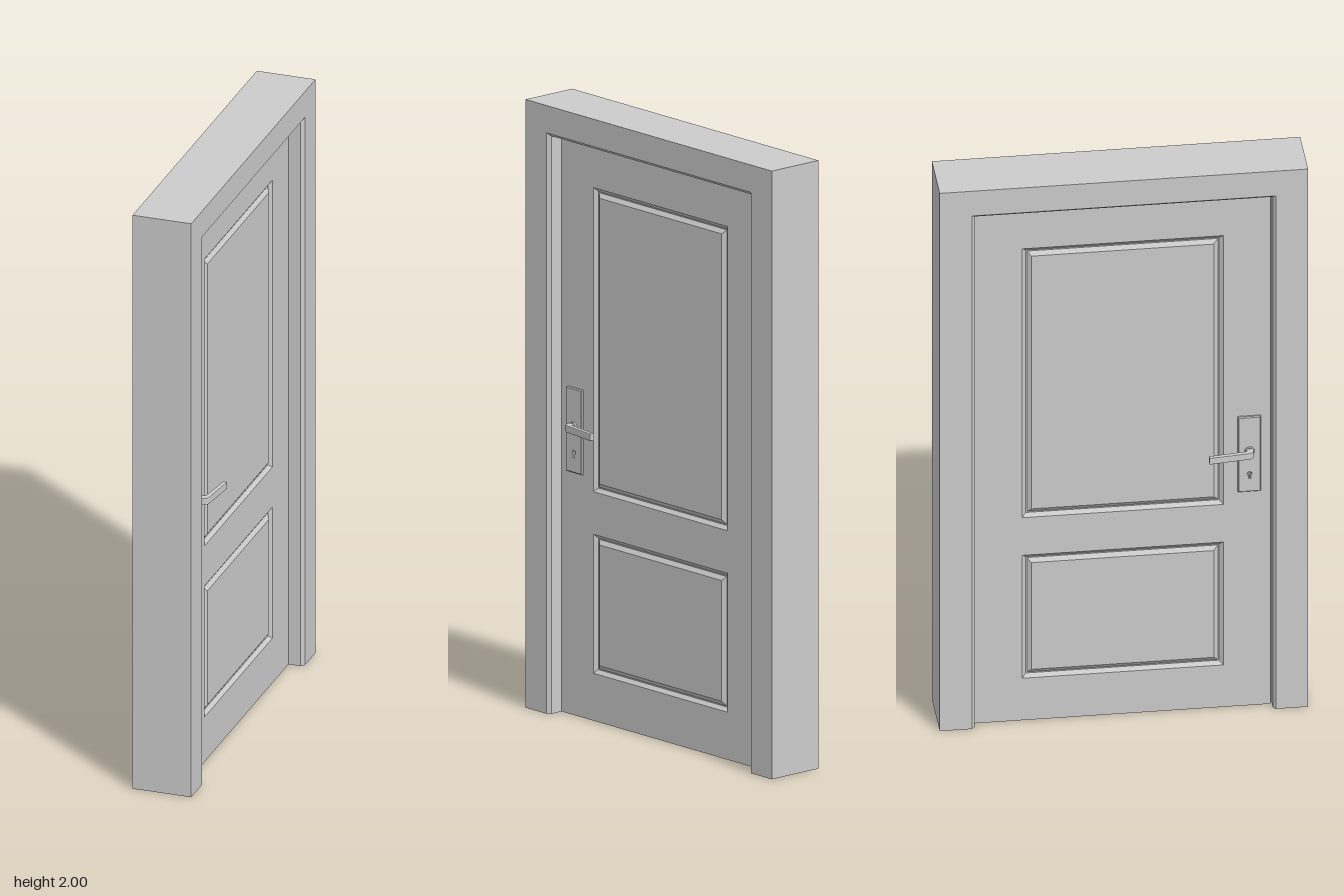
import * as THREE from 'three';

const material = new THREE.MeshStandardMaterial({ color: 0xcccccc });

function part(name, geometry) {
  const mesh = new THREE.Mesh(geometry, material);
  mesh.name = name;
  return mesh;
}

// Flat-shaded skin through rows of closed rings, with optional start cap and an end cap
function loft(rows, capStart) {
  const pos = [];
  const tri = (a, b, c) => pos.push(...a, ...b, ...c);
  const n = rows[0].length;
  for (let j = 0; j < rows.length - 1; j++) {
    for (let k = 0; k < n; k++) {
      const m = (k + 1) % n;
      const [a, b, c, d] = [rows[j][k], rows[j][m], rows[j + 1][m], rows[j + 1][k]];
      tri(a, b, c);
      tri(a, c, d);
    }
  }
  const last = rows[rows.length - 1];
  for (let k = 1; k < n - 1; k++) {
    tri(last[0], last[k], last[k + 1]);
    if (capStart) tri(rows[0][0], rows[0][k + 1], rows[0][k]);
  }
  const geometry = new THREE.BufferGeometry();
  geometry.setAttribute('position', new THREE.Float32BufferAttribute(pos, 3));
  geometry.computeVertexNormals();
  return geometry;
}

// Sweep a profile of [inset, depth] up one jamb, across the head and down the other jamb
function surround(profile) {
  const stations = [[-1, 0], [-1, 1], [1, 1], [1, 0]];
  return loft(stations.map(([side, top]) => profile.map(([i, d]) =>
    [side * (0.59 - 0.112 * i), top * (2 - 0.1 * i), d])), true);
}

function rect(path, x0, y0, x1, y1) {
  path.moveTo(x0, y0);
  path.lineTo(x1, y0);
  path.lineTo(x1, y1);
  path.lineTo(x0, y1);
  path.closePath();
  return path;
}

const FRONT = 0.058, BACK = -0.06;
const PANELS = [
  { name: 'upperPanel', y0: 0.755, y1: 1.755 },
  { name: 'lowerPanel', y0: 0.158, y1: 0.615 },
];
const PANEL_HALF = 0.322;

// Raised panel surrounded by a moulded groove
function panelGeometry({ y0, y1 }) {
  const steps = [[0, 0], [0.004, -0.004], [0.012, -0.011], [0.016, -0.011], [0.03, -0.001]];
  return loft(steps.map(([i, z]) => {
    const x = PANEL_HALF - i;
    return [[-x, y0 + i, z], [x, y0 + i, z], [x, y1 - i, z], [-x, y1 - i, z]];
  }), false);
}

// Back plate with keyhole, and bent lever; s is the direction the lever points
function createHandle(s) {
  const handle = new THREE.Group();
  handle.name = 'handle';

  const plate = rect(new THREE.Shape(), -0.034, 0.804, 0.034, 1.076);
  const keyhole = new THREE.Path();
  keyhole.absarc(0, 0.868, 0.008, -Math.PI / 3, Math.PI * 4 / 3, false);
  keyhole.lineTo(-0.004, 0.85);
  keyhole.lineTo(0.004, 0.85);
  keyhole.closePath();
  plate.holes.push(keyhole);
  handle.add(part('handlePlate', new THREE.ExtrudeGeometry(plate, {
    depth: 0.006, bevelSize: 0.003, bevelThickness: 0.003, bevelSegments: 1, curveSegments: 8,
  })));

  const collar = part('handleCollar', new THREE.CylinderGeometry(0.016, 0.016, 0.008, 20));
  collar.rotation.x = Math.PI / 2;
  collar.position.set(0, 0.953, 0.012);
  handle.add(collar);

  const plan = new THREE.Shape();
  plan.moveTo(-0.01 * s, 0);
  plan.lineTo(-0.01 * s, 0.027);
  plan.quadraticCurveTo(-0.008 * s, 0.04, 0.006 * s, 0.042);
  plan.lineTo(0.132 * s, 0.056);
  plan.lineTo(0.133 * s, 0.046);
  plan.lineTo(0.016 * s, 0.031);
  plan.quadraticCurveTo(0.01 * s, 0.03, 0.009 * s, 0.024);
  plan.lineTo(0.009 * s, 0);
  const lever = new THREE.ExtrudeGeometry(plan, {
    depth: 0.018, bevelSize: 0.002, bevelThickness: 0.003, bevelSegments: 2, curveSegments: 6,
  });
  lever.rotateX(Math.PI / 2);
  lever.translate(0, 0.962, 0);
  handle.add(part('handleLever', lever));

  handle.position.x = -0.405 * s;
  return handle;
}

export function createModel() {
  const model = new THREE.Group();
  model.name = 'door';
  const body = new THREE.Group();
  body.name = 'doorAssembly';
  body.rotation.y = Math.PI / 2;
  model.add(body);

  // Frame with chamfered opening, and the stop that closes the gap round the leaf
  body.add(part('frame', surround([
    [0, -0.09], [0, 0.108], [0.9, 0.108], [1, 0.098], [1, -0.081], [0.92, -0.09],
  ])));
  body.add(part('doorStop', surround([[0.96, -0.04], [0.96, 0.03], [1.08, 0.03], [1.08, -0.04]])));

  // Leaf with openings for the panels
  const leaf = rect(new THREE.Shape(), -0.474, 0.002, 0.474, 1.896);
  for (const { y0, y1 } of PANELS) {
    leaf.holes.push(rect(new THREE.Path(), -PANEL_HALF, y0, PANEL_HALF, y1));
  }
  const leafGeometry = new THREE.ExtrudeGeometry(leaf, { depth: FRONT - BACK, bevelEnabled: false });
  leafGeometry.translate(0, 0, BACK);
  body.add(part('doorLeaf', leafGeometry));

  // Panels and handle on each face
  for (const s of [1, -1]) {
    const face = new THREE.Group();
    face.name = s > 0 ? 'leftFace' : 'rightFace';
    face.position.z = s > 0 ? FRONT : BACK;
    face.rotation.y = s > 0 ? 0 : Math.PI;
    for (const panel of PANELS) face.add(part(panel.name, panelGeometry(panel)));
    face.add(createHandle(s));
    body.add(face);
  }
  return model;
}
